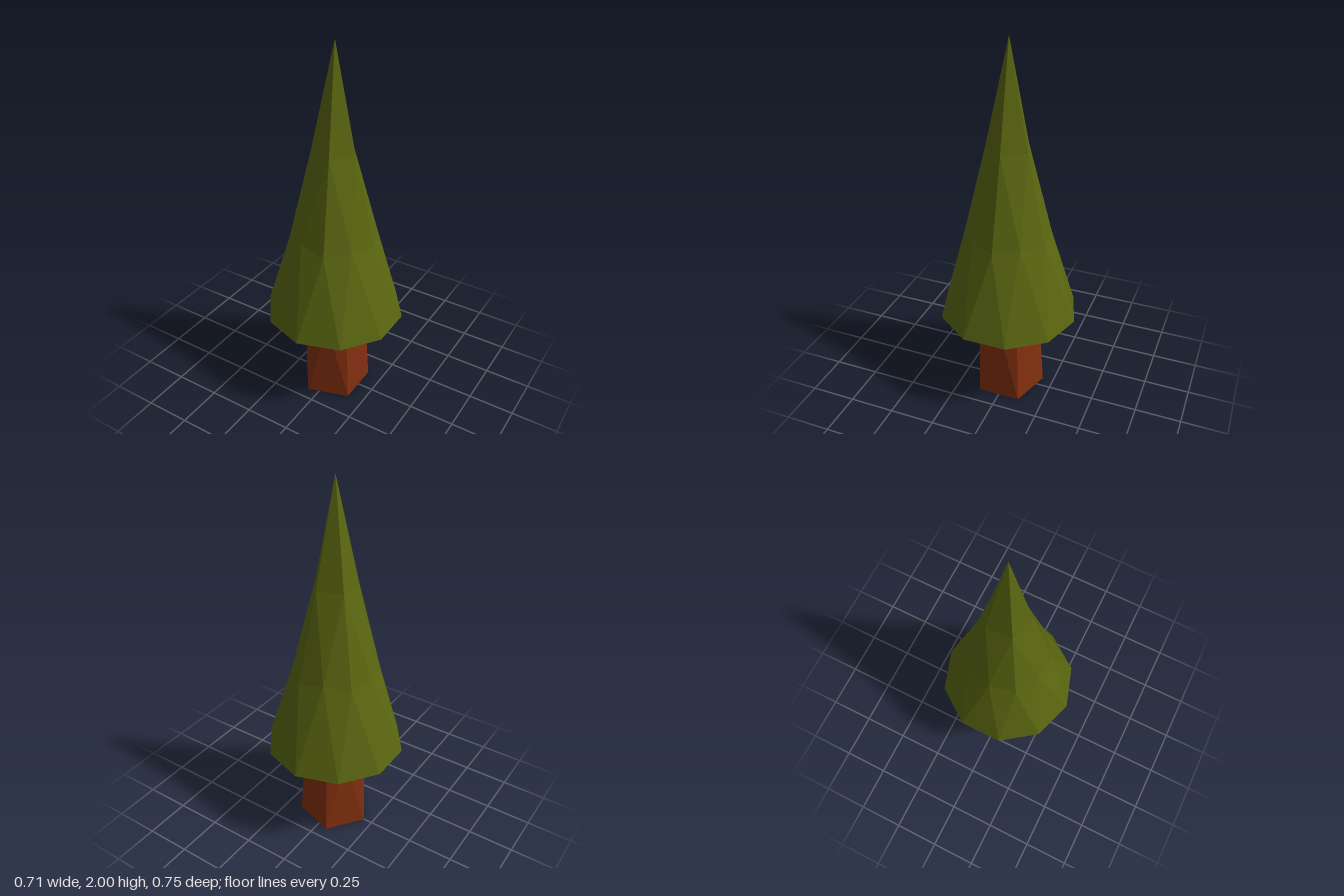
import * as THREE from 'three';

const TAU = Math.PI * 2;

// Ring of points around y; radius and height may alternate between [even, odd] points
function ring(count, startDeg, radii, heights) {
  return Array.from({ length: count }, (_, i) => {
    const a = THREE.MathUtils.degToRad(startDeg) + (i / count) * TAU;
    const r = radii[i % radii.length];
    return new THREE.Vector3(r * Math.cos(a), heights[i % heights.length], r * Math.sin(a));
  });
}

const at = (points, i) => points[i % points.length];

// Faceted mesh from a list of triangles
function facetMesh(name, triangles, material) {
  const geometry = new THREE.BufferGeometry().setFromPoints(triangles.flat());
  geometry.computeVertexNormals();
  const mesh = new THREE.Mesh(geometry, material);
  mesh.name = name;
  return mesh;
}

// Five-sided ring joined to a ten-sided ring above or below it
function joinFiveBelowTen(five, ten) {
  const t = [];
  for (let j = 0; j < 5; j++) {
    const a = at(five, j), b = at(five, j + 1), mid = at(ten, 2 * j + 1);
    t.push([a, at(ten, 2 * j), mid], [a, mid, b], [b, mid, at(ten, 2 * j + 2)]);
  }
  return t;
}

function joinFiveAboveTen(five, ten) {
  const t = [];
  for (let j = 0; j < 5; j++) {
    const a = at(five, j), b = at(five, j + 1), mid = at(ten, 2 * j + 1);
    t.push([at(ten, 2 * j), a, mid], [mid, a, b], [mid, b, at(ten, 2 * j + 2)]);
  }
  return t;
}

// Two ten-sided rings, the lower one turned half a step
function joinTwisted(lower, upper) {
  return lower.flatMap((s, k) => [
    [s, at(upper, k), at(upper, k + 1)],
    [s, at(upper, k + 1), at(lower, k + 1)],
  ]);
}

const fanUp = (points, tip) => points.map((p, i) => [p, tip, at(points, i + 1)]);
const fanDown = (points, tip) => points.map((p, i) => [p, at(points, i + 1), tip]);

export function createModel() {
  const needles = new THREE.MeshStandardMaterial({ color: 0x5a6610, flatShading: true });
  needles.name = 'needle green';
  const bark = new THREE.MeshStandardMaterial({ color: 0x84300f, flatShading: true });
  bark.name = 'bark brown';

  // Foliage: ridged five-sided spire over a ten-sided skirt
  const skirt = ring(10, 18, [0.375], [0.5]);
  const waist = ring(10, 0, [0.235, 0.222], [0.965, 0.99]);
  const spire = ring(5, 0, [0.118], [1.45]);
  const foliage = facetMesh('foliage', [
    ...fanDown(skirt, new THREE.Vector3(0, 0.4, 0)),
    ...joinTwisted(skirt, waist),
    ...joinFiveAboveTen(spire, waist),
    ...fanUp(spire, new THREE.Vector3(0, 2, 0)),
  ], needles);

  // Trunk: five-sided foot widening into a ten-sided top hidden in the foliage
  const foot = ring(5, 180, [0.198], [0]);
  const neck = ring(10, 180, [0.167, 0.16], [0.47]);
  const trunk = facetMesh('trunk', [
    ...fanDown(foot, new THREE.Vector3(0, 0, 0)),
    ...joinFiveBelowTen(foot, neck),
    ...fanUp(neck, new THREE.Vector3(0, 0.47, 0)),
  ], bark);

  const tree = new THREE.Group();
  tree.name = 'tree';
  tree.add(foliage, trunk);
  return tree;
}
